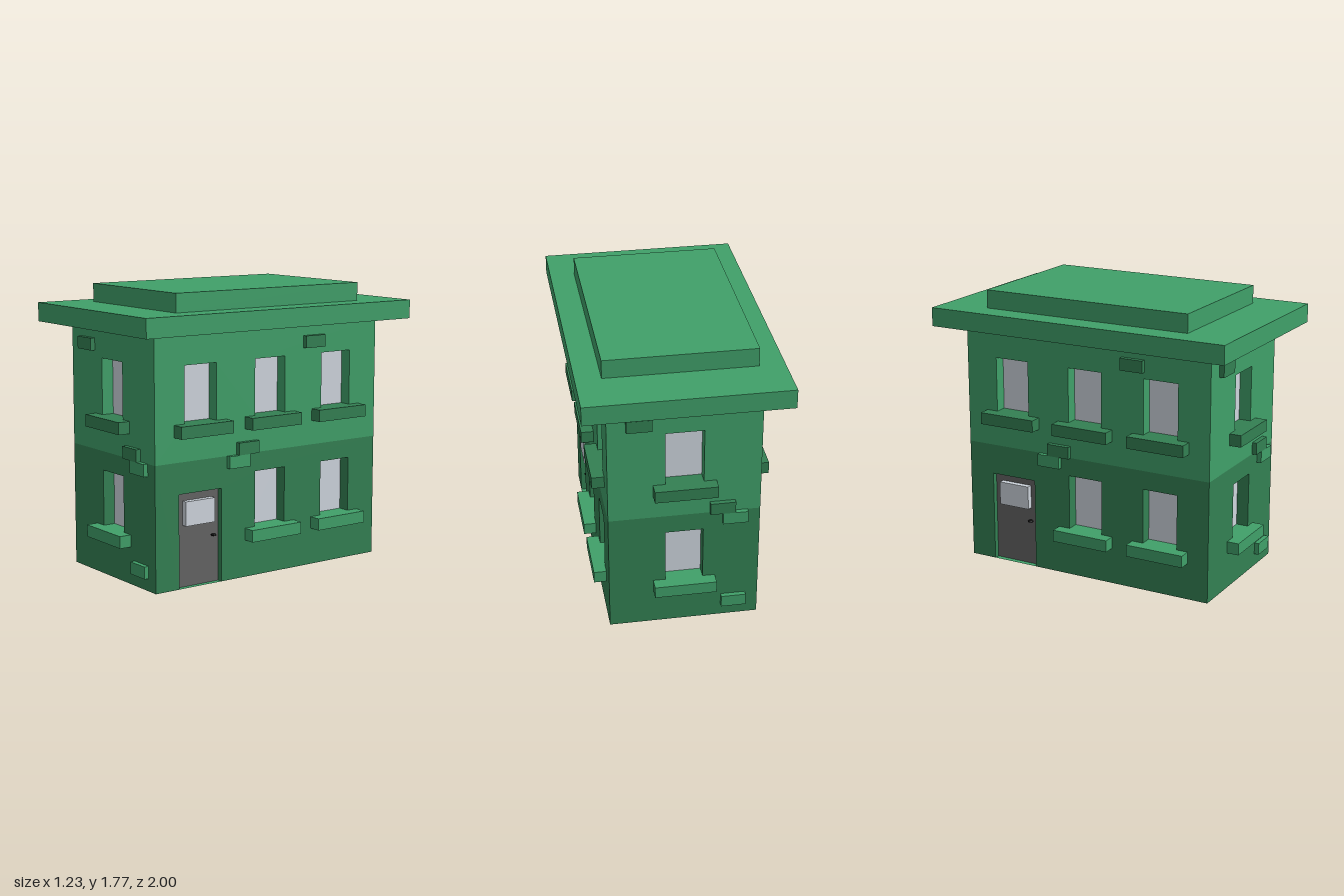
import * as THREE from 'three';

const mat = (color) => new THREE.MeshStandardMaterial({ color, side: THREE.DoubleSide, flatShading: true });
const W = 0.46, D = 0.847, H = 1.54, MID = 0.773; // half width, half depth, wall height, storey line
const REVEAL = 0.077, DOOR_REVEAL = 0.035;

export function createModel() {
  const light = mat(0x40a069), dark = mat(0x338053), glass = mat(0xcfd6de);
  const doorGrey = mat(0x646464), black = mat(0x0a0a0a);

  function add(parent, name, geometry, material, x = 0, y = 0, z = 0) {
    const mesh = new THREE.Mesh(geometry, material);
    mesh.name = name;
    mesh.position.set(x, y, z);
    parent.add(mesh);
    return mesh;
  }

  // Box given by its limits in x, y and z
  function block(parent, name, material, x0, x1, y0, y1, z0, z1) {
    return add(parent, name, new THREE.BoxGeometry(x1 - x0, y1 - y0, z1 - z0), material,
      (x0 + x1) / 2, (y0 + y1) / 2, (z0 + z1) / 2);
  }

  // Sides, top and bottom of a recess behind the wall plane, closed by a panel
  function recess(parent, name, x, y0, y1, width, depth, wallMat, floorMat, panelMat) {
    const h = y1 - y0, yc = (y0 + y1) / 2;
    for (const s of [-1, 1]) {
      add(parent, name + 'Reveal', new THREE.PlaneGeometry(depth, h), wallMat, x + s * width / 2, yc, -depth / 2)
        .rotation.y = -s * Math.PI / 2;
    }
    add(parent, name + 'Head', new THREE.PlaneGeometry(width, depth), wallMat, x, y1, -depth / 2).rotation.x = Math.PI / 2;
    add(parent, name + 'Floor', new THREE.PlaneGeometry(width, depth), floorMat, x, y0, -depth / 2).rotation.x = -Math.PI / 2;
    add(parent, name + 'Panel', new THREE.PlaneGeometry(width, h), panelMat, x, yc, -depth);
  }

  // One storey of a wall: a sheet with window holes and an optional door notch
  function storey(parent, half, y0, y1, wallMat, trimMat, windows, doorX) {
    const shape = new THREE.Shape();
    shape.moveTo(-half, y0);
    if (doorX !== undefined) {
      shape.lineTo(doorX - 0.155, y0);
      shape.lineTo(doorX - 0.155, 0.58);
      shape.lineTo(doorX + 0.155, 0.58);
      shape.lineTo(doorX + 0.155, y0);
    }
    shape.lineTo(half, y0);
    shape.lineTo(half, y1);
    shape.lineTo(-half, y1);
    const base = y0 === 0 ? 0.307 : 1.0;
    const top = base + 0.348;
    for (const x of windows) {
      const hole = new THREE.Path();
      hole.moveTo(x - 0.115, base);
      hole.lineTo(x - 0.115, top);
      hole.lineTo(x + 0.115, top);
      hole.lineTo(x + 0.115, base);
      shape.holes.push(hole);
      recess(parent, 'window', x, base, top, 0.23, REVEAL, wallMat, trimMat, glass);
      block(parent, 'windowSill', trimMat, x - 0.19, x + 0.19, base - 0.075, base, -0.002, REVEAL);
    }
    add(parent, 'wall', new THREE.ShapeGeometry(shape), wallMat);
  }

  // Raised bricks: left edge, bottom edge, material
  function bricks(parent, list) {
    for (const [x, y, m] of list) block(parent, 'brick', m, x, x + 0.153, y, y + 0.076, -0.002, 0.03);
  }

  // Narrow side
  function buildFront() {
    const g = new THREE.Group();
    g.name = 'endWall';
    storey(g, W, 0, MID, dark, light, [0]);
    storey(g, W, MID, H, light, dark, [0]);
    bricks(g, [[-0.348, 1.388, dark], [0.153, MID, dark], [0.23, MID - 0.076, light], [0.23, 0.078, light]]);
    return g;
  }

  // Long side with the door
  function buildSide() {
    const g = new THREE.Group(), doorX = -0.523;
    g.name = 'sideWall';
    storey(g, D, 0, MID, dark, light, [0, 0.52], doorX);
    storey(g, D, MID, H, light, dark, [-0.52, 0, 0.52]);
    bricks(g, [[0.258, 1.388, dark], [-0.255, MID, dark], [-0.325, MID - 0.076, light]]);
    recess(g, 'door', doorX, 0, 0.58, 0.31, DOOR_REVEAL, dark, light, doorGrey);
    block(g, 'doorWindow', glass, -0.63, -0.418, 0.38, 0.53, -DOOR_REVEAL - 0.001, 0.001);
    const knob = add(g, 'doorKnob', new THREE.SphereGeometry(1, 12, 8), black, -0.415, 0.295, -0.017);
    knob.scale.set(0.017, 0.008, 0.02);
    return g;
  }

  const house = new THREE.Group();
  house.name = 'house';

  // Opposite walls are half-turn copies of each other
  for (const turn of [0, Math.PI]) {
    const half = new THREE.Group();
    half.name = turn ? 'backAndRightWalls' : 'frontAndLeftWalls';
    const front = buildFront(), side = buildSide();
    front.position.z = D;
    side.position.x = W;
    side.rotation.y = Math.PI / 2;
    half.add(front, side);
    half.rotation.y = turn;
    house.add(half);
  }

  // Overhanging roof slab and the raised block on top
  block(house, 'roofSlab', light, -0.615, 0.615, H, 1.658, -1, 1);
  block(house, 'roofTop', light, -W, W, 1.658, 1.773, -0.692, 0.692);
  return house;
}
